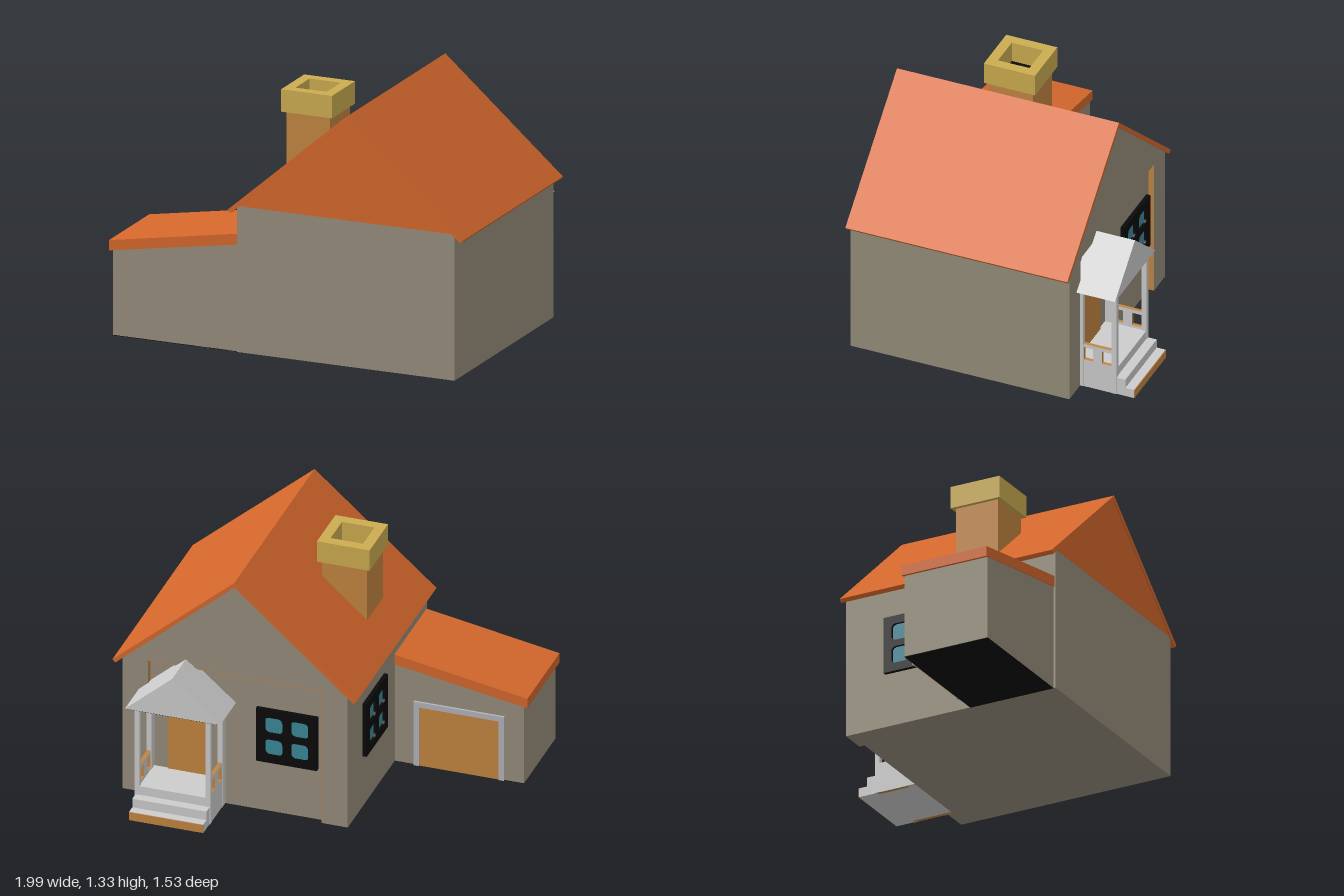
import * as THREE from 'three';

const mat = (name, color) => {
  const m = new THREE.MeshStandardMaterial({ color });
  m.name = name;
  return m;
};

export function createModel() {
  const root = new THREE.Group();
  root.name = 'house';
  const wall = mat('stone wall', 0x958d7b);
  const orange = mat('roof orange', 0xd4672c);
  const wood = mat('warm wood', 0xc28540);
  const yellow = mat('chimney cap yellow', 0xcbac50);
  const white = mat('porch grey', 0xcccccc);
  const trim = mat('garage trim grey', 0xb2b4ba);
  const black = mat('black', 0x0a0a0a);
  const glass = mat('window teal', 0x3c8898);

  const add = (name, geo, m, parent = root) => {
    const mesh = new THREE.Mesh(geo, m);
    mesh.name = name;
    parent.add(mesh);
    return mesh;
  };
  const box = (name, m, x0, x1, y0, y1, z0, z1, parent) => {
    const g = new THREE.BoxGeometry(x1 - x0, y1 - y0, z1 - z0);
    g.translate((x0 + x1) / 2, (y0 + y1) / 2, (z0 + z1) / 2);
    return add(name, g, m, parent);
  };
  const poly = (pts) => new THREE.Shape(pts.map(([x, y]) => new THREE.Vector2(x, y)));
  const rect = (x0, x1, y0, y1) => poly([[x0, y0], [x1, y0], [x1, y1], [x0, y1]]);
  const extrude = (shape, z0, z1) =>
    new THREE.ExtrudeGeometry(shape, { depth: z1 - z0, bevelEnabled: false, curveSegments: 4 }).translate(0, 0, z0);
  const roundedHole = (cx, cy, w, h, r) => {
    const p = new THREE.Path();
    const corners = [[1, 1, 0], [-1, 1, 0.5], [-1, -1, 1], [1, -1, 1.5]];
    corners.forEach(([sx, sy, a]) =>
      p.absarc(cx + sx * (w / 2 - r), cy + sy * (h / 2 - r), r, a * Math.PI, (a + 0.5) * Math.PI, false));
    p.closePath();
    return p;
  };

  // Main walls: the back is set in between two corner posts
  box('mainWalls', wall, -0.28, 0.94, 0, 0.78, -0.435, 0.755);
  for (const [x0, x1, inner] of [[-0.28, -0.14, -0.14], [0.8, 0.94, 0.8]]) {
    box('backCornerPost', wall, x0, x1, 0, 0.78, -0.465, -0.435);
    box('postReveal', wood, inner - 0.002, inner + 0.002, 0, 0.779, -0.463, -0.435);
  }
  box('backSoffit', wood, -0.14, 0.8, 0.775, 0.78, -0.463, -0.435);

  // Gables: stone at the back, orange at the front
  const gable = poly([[-0.27, 0.78], [0.93, 0.78], [0.33, 1.31]]);
  add('backGable', extrude(gable, -0.465, 0.75), wall);
  add('frontGable', extrude(gable, 0.75, 0.756), orange);

  // Main roof: one bent slab
  add('mainRoof', extrude(poly([
    [0.33, 1.33], [-0.33, 0.755], [-0.315, 0.738], [0.33, 1.302], [0.975, 0.738], [0.99, 0.755],
  ]), -0.475, 0.762), orange);

  // Chimney with a hollow cap
  box('chimneyShaft', wood, -0.18, 0.065, 0.75, 1.19, 0.12, 0.365);
  const cap = rect(-0.2, 0.085, -0.385, -0.1);
  cap.holes.push(rect(-0.145, 0.03, -0.33, -0.155));
  add('chimneyCap', extrude(cap, 1.19, 1.31).rotateX(-Math.PI / 2), yellow);
  box('chimneyFlue', black, -0.145, 0.03, 1.19, 1.197, 0.155, 0.33);

  // Four-pane windows, facing +z before they are turned
  const makeWindow = (name) => {
    const g = new THREE.Group();
    g.name = name;
    const frame = rect(-0.165, 0.165, -0.155, 0.155);
    for (const sx of [-1, 1]) for (const sy of [-1, 1])
      frame.holes.push(roundedHole(sx * 0.07, sy * 0.064, 0.096, 0.092, 0.024));
    add('windowFrame', extrude(frame, 0, 0.022), black, g);
    box('windowGlass', glass, -0.15, 0.15, -0.14, 0.14, 0, 0.008, g);
    root.add(g);
    return g;
  };
  const backWindow = makeWindow('backWindow');
  backWindow.position.set(0.055, 0.45, -0.435);
  backWindow.rotation.y = Math.PI;
  const sideWindow = makeWindow('sideWindow');
  sideWindow.position.set(-0.28, 0.45, -0.07);
  sideWindow.rotation.y = -Math.PI / 2;

  // House door
  box('houseDoor', wood, 0.49, 0.7, 0.15, 0.57, -0.443, -0.435);

  // Garage with sloping top
  add('garageWalls', extrude(poly([[-0.98, 0], [-0.28, 0], [-0.28, 0.58], [-0.98, 0.46]]), 0.26, 0.745), wall);
  add('garageRoof', extrude(poly([[-1, 0.45], [-0.278, 0.572], [-0.278, 0.63], [-1, 0.505]]), 0.253, 0.75), orange);
  box('garageFloor', black, -0.98, -0.28, -0.002, 0.001, 0.26, 0.745);
  const doorFrame = poly([[-0.875, 0], [-0.845, 0], [-0.845, 0.345], [-0.415, 0.345],
    [-0.415, 0], [-0.385, 0], [-0.385, 0.375], [-0.875, 0.375]]);
  add('garageDoorFrame', extrude(doorFrame, 0.248, 0.26), trim);
  box('garageDoor', wood, -0.845, -0.415, 0, 0.345, 0.254, 0.26);

  // Porch floor and steps
  const porch = new THREE.Group();
  porch.name = 'porch';
  root.add(porch);
  box('porchFloor', white, 0.397, 0.798, 0, 0.15, -0.664, -0.435, porch);
  box('middleStep', white, 0.397, 0.798, 0.05, 0.1, -0.715, -0.664, porch);
  box('bottomStep', white, 0.397, 0.798, 0, 0.05, -0.763, -0.664, porch);
  box('bottomRiser', wood, 0.397, 0.798, 0.002, 0.048, -0.766, -0.763, porch);

  // Low side walls with two openings each, and the posts
  for (const x of [0.395, 0.78]) {
    const side = rect(-0.655, -0.435, 0, 0.26);
    side.holes.push(rect(-0.64, -0.585, 0.165, 0.24), rect(-0.535, -0.485, 0.165, 0.24));
    const geo = extrude(side, 0, 0.02).rotateY(-Math.PI / 2).translate(x + 0.02, 0, 0);
    add('porchSideWall', geo, [white, wood], porch);
    const px = x < 0.5 ? 0.393 : 0.777;
    box('porchFrontPost', white, px, px + 0.025, 0, 0.605, -0.667, -0.64, porch);
    box('porchWallPost', white, px, px + 0.025, 0, 0.605, -0.482, -0.435, porch);
  }

  // Porch roof with a dark ceiling
  add('porchRoof', extrude(poly([[0.335, 0.602], [0.85, 0.602], [0.595, 0.825]]), -0.68, -0.435), white, porch);
  box('porchCeiling', black, 0.345, 0.84, 0.598, 0.602, -0.675, -0.436, porch);

  return root;
}
